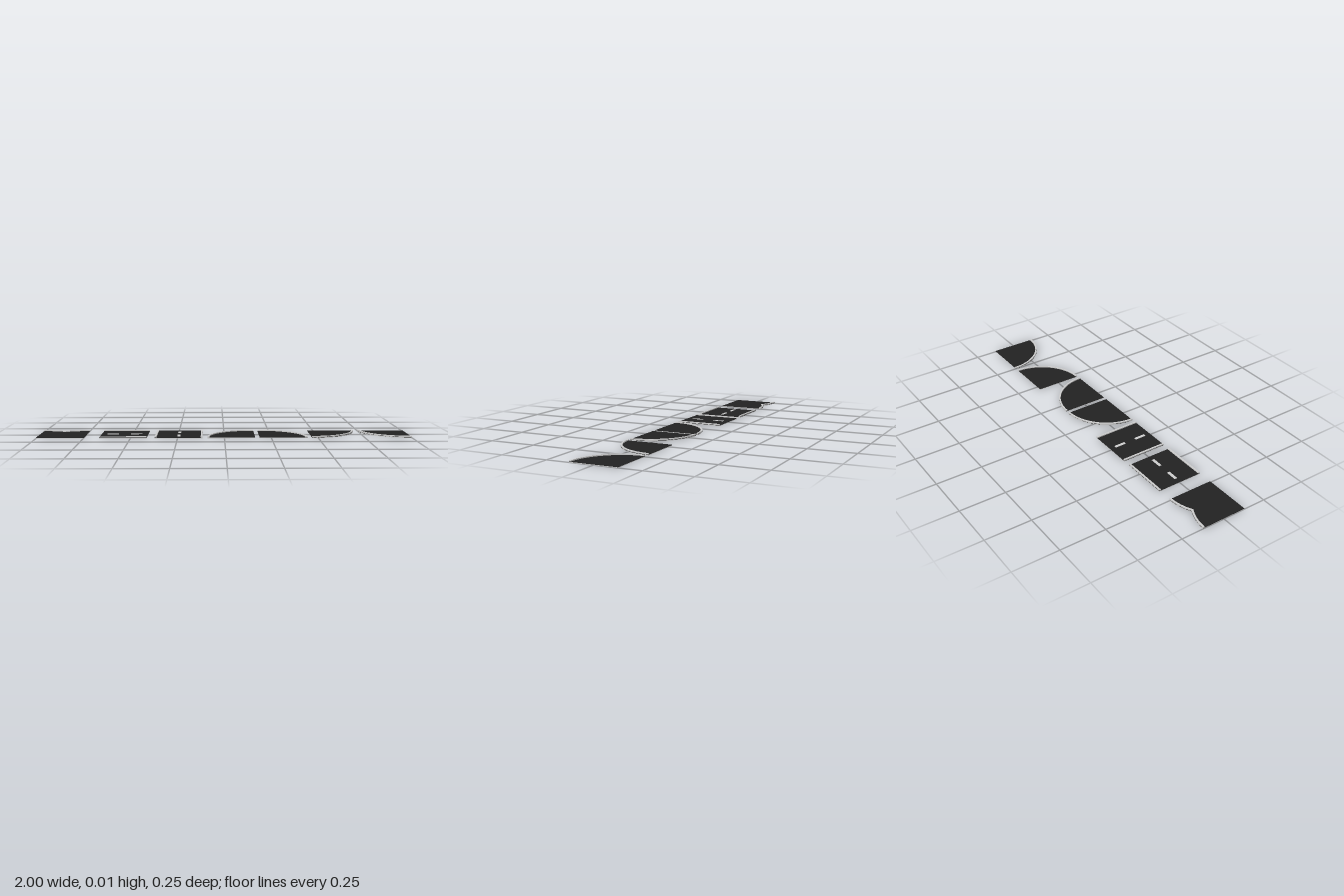
import * as THREE from 'three';

const S = 0.253, H = S / 2;            // tile size and half size
const KERB = 0.009;                    // kerb width
const BASE_Y = 0.003, ROAD_Y = 0.005, KERB_Y = 0.0105;

const grey = new THREE.MeshStandardMaterial({ color: 0xcccccc });
const asphalt = new THREE.MeshStandardMaterial({ color: 0x222222 });

// Upright slab from a plan outline (plan y points to the back, -z)
function slab(name, shape, y0, y1, material) {
  const geo = new THREE.ExtrudeGeometry(shape, { depth: y1 - y0, bevelEnabled: false, curveSegments: 24 });
  geo.rotateX(-Math.PI / 2).translate(0, y0, 0);
  const mesh = new THREE.Mesh(geo, material);
  mesh.name = name;
  return mesh;
}

function rect(cx, cy, w, h) {
  return new THREE.Shape([[-1, -1], [1, -1], [1, 1], [-1, 1]]
    .map(([a, b]) => new THREE.Vector2(cx + a * w / 2, cy + b * h / 2)));
}

// Quarter disc about a corner of the tile
function sector(cx, cy, a0, r) {
  const s = new THREE.Shape();
  s.absarc(cx, cy, r, a0, a0 + Math.PI / 2, false);
  s.lineTo(cx, cy);
  s.closePath();
  return s;
}

// Curved kerb strip; the inner edge may start and end at other angles
function kerbArc(cx, cy, a0, a1, i0 = a0, i1 = a1) {
  const s = new THREE.Shape();
  s.absarc(cx, cy, S, a0, a1, false);
  s.absarc(cx, cy, S - KERB, i1, i0, true);
  s.closePath();
  return s;
}

// Square tile bounded at the back by two arcs meeting in a notch
function junctionShape() {
  const s = new THREE.Shape();
  s.moveTo(-H, -H);
  s.lineTo(H, -H);
  s.absarc(-H, -H, S, 0, 0, false);
  s.lineTo(H, H);
  s.absarc(H, -H, S, Math.PI / 2, Math.PI * 2 / 3, false);
  s.absarc(-H, -H, S, Math.PI / 3, Math.PI / 2, false);
  s.closePath();
  return s;
}

function tile(name, x, outline, kerbs, dashes = []) {
  const g = new THREE.Group();
  g.name = name;
  g.position.x = x;
  g.add(slab('base', outline, 0, BASE_Y, grey));
  g.add(slab('roadSurface', outline, BASE_Y, ROAD_Y, asphalt));
  kerbs.forEach(k => g.add(slab('kerb', k, BASE_Y, KERB_Y, grey)));
  dashes.forEach(d => g.add(slab('laneDash', d, ROAD_Y, ROAD_Y + 0.001, grey)));
  return g;
}

export function createModel() {
  const model = new THREE.Group();
  model.name = 'roadTiles';
  const sides = [-1, 1];
  const edge = H - KERB / 2;

  // Junction tile
  const inner = Math.acos(H / (S - KERB));
  model.add(tile('junctionTile', -1 + H, junctionShape(), [
    kerbArc(-H, -H, Math.PI / 3, Math.PI / 2, inner, Math.PI / 2),
    kerbArc(H, -H, Math.PI / 2, Math.PI * 2 / 3, Math.PI / 2, Math.PI - inner),
  ]));

  // Straight tiles, across and along
  model.add(tile('straightTileAcross', -0.54, rect(0, 0, S, S),
    sides.map(s => rect(0, s * edge, S, KERB)),
    sides.map(s => rect(s * 0.064, 0, 0.063, 0.016))));
  model.add(tile('straightTileAlong', -0.244, rect(0, 0, S, S),
    sides.map(s => rect(s * edge, 0, KERB, S)),
    sides.map(s => rect(0, s * 0.064, 0.016, 0.063))));

  // Four corner tiles: centre x, corner signs, start angle
  [
    ['cornerTileBackRight', 0.037, 1, -1, Math.PI / 2],
    ['cornerTileBackLeft', 0.314, -1, -1, 0],
    ['cornerTileFrontLeft', 0.593, -1, 1, -Math.PI / 2],
    ['cornerTileFrontRight', 1 - H, 1, 1, Math.PI],
  ].forEach(([name, x, sx, sy, a]) => {
    const cx = sx * H, cy = sy * H;
    model.add(tile(name, x, sector(cx, cy, a, S), [kerbArc(cx, cy, a, a + Math.PI / 2)]));
  });

  return model;
}
